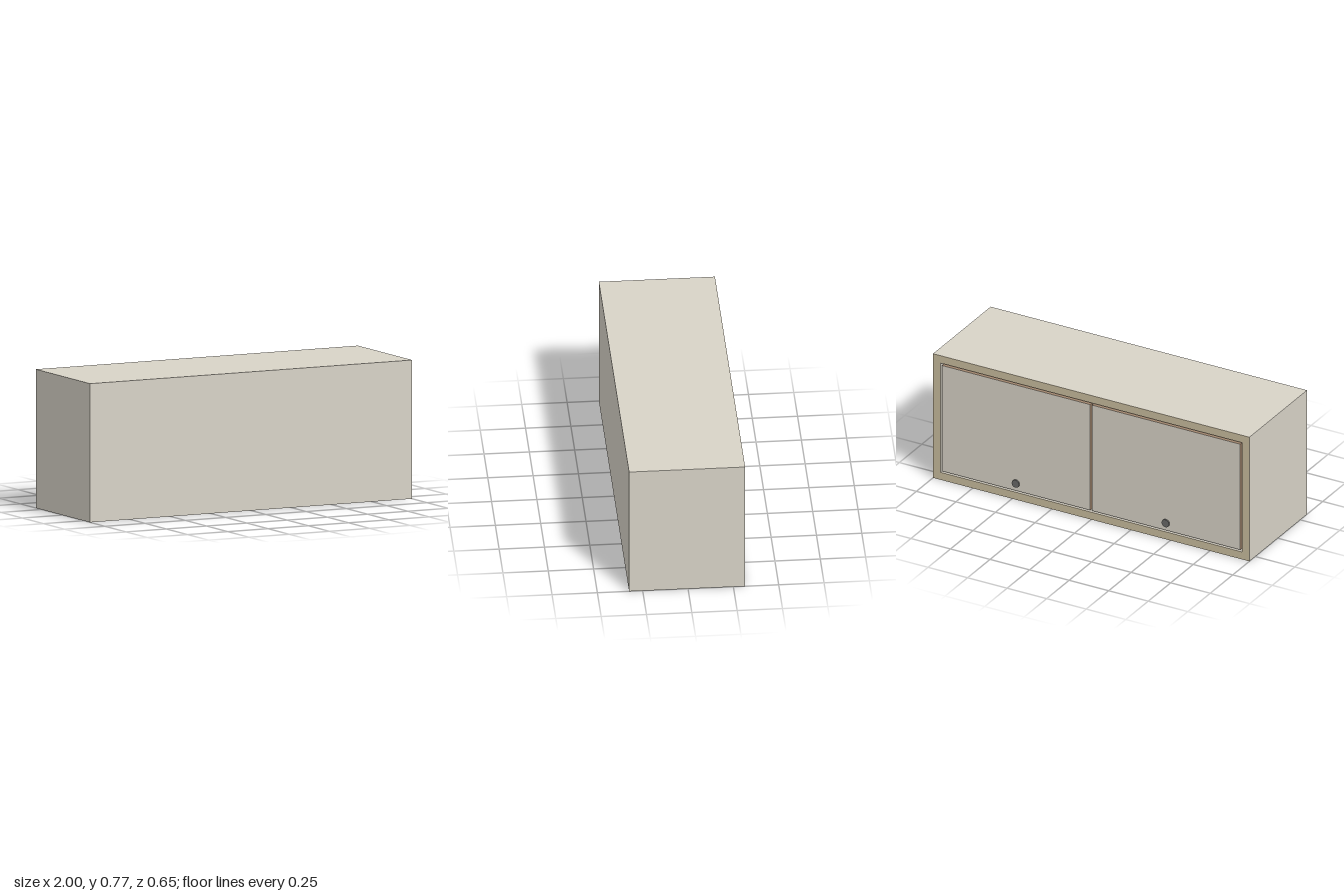
import * as THREE from 'three';

const W = 2, H = 0.77, FRONT = 0.325, BACK = -0.315, T = 0.046;

const panelMat = new THREE.MeshStandardMaterial({ color: 0xd8d3c7 });
const edgeMat = new THREE.MeshStandardMaterial({ color: 0xcabd9f });
const bandMat = new THREE.MeshStandardMaterial({ color: 0xa58a72 });
const knobMat = new THREE.MeshStandardMaterial({ color: 0x6a6a68 });

function add(parent, name, geometry, material, x, y, z) {
  const mesh = new THREE.Mesh(geometry, material);
  mesh.name = name;
  mesh.position.set(x, y, z);
  parent.add(mesh);
  return mesh;
}

// Rectangular ring, open in the middle, extruded along z
function ring(depth) {
  const shape = new THREE.Shape([
    [-W / 2, 0], [W / 2, 0], [W / 2, H], [-W / 2, H],
  ].map(([x, y]) => new THREE.Vector2(x, y)));
  shape.holes.push(new THREE.Path([
    [-W / 2 + T, T], [-W / 2 + T, H - T], [W / 2 - T, H - T], [W / 2 - T, T],
  ].map(([x, y]) => new THREE.Vector2(x, y))));
  return new THREE.ExtrudeGeometry(shape, { depth, bevelEnabled: false });
}

export function createModel() {
  const cabinet = new THREE.Group();
  cabinet.name = 'wallCabinet';

  // Carcass: top, bottom and sides in one ring, closed by a plain panel
  const lip = 0.002, panel = 0.03;
  add(cabinet, 'carcass', ring(FRONT - panel - BACK - lip), panelMat, 0, 0, BACK + lip);
  add(cabinet, 'closingPanel', new THREE.BoxGeometry(W, H, panel), panelMat, 0, H / 2, FRONT - panel / 2);

  // Edge banding around the opening
  add(cabinet, 'edgeBanding', ring(lip), edgeMat, 0, 0, BACK);

  // Two doors with banded edges, separated by a narrow gap, and round knobs
  const doorW = 0.938, doorH = 0.655, doorT = 0.03, face = BACK - 0.002;
  for (const [side, name] of [[1, 'left'], [-1, 'right']]) {
    const door = new THREE.Group();
    door.name = name + 'Door';
    door.position.set(side * 0.474, 0, 0);
    cabinet.add(door);
    add(door, name + 'DoorPanel', new THREE.BoxGeometry(doorW, doorH, doorT),
      [bandMat, bandMat, bandMat, bandMat, panelMat, panelMat], 0, H / 2, face + doorT / 2);
    const knob = add(door, name + 'Knob', new THREE.CylinderGeometry(0.023, 0.023, 0.01, 32),
      knobMat, 0, 0.103, face - 0.003);
    knob.rotation.x = Math.PI / 2;
  }
  return cabinet;
}
